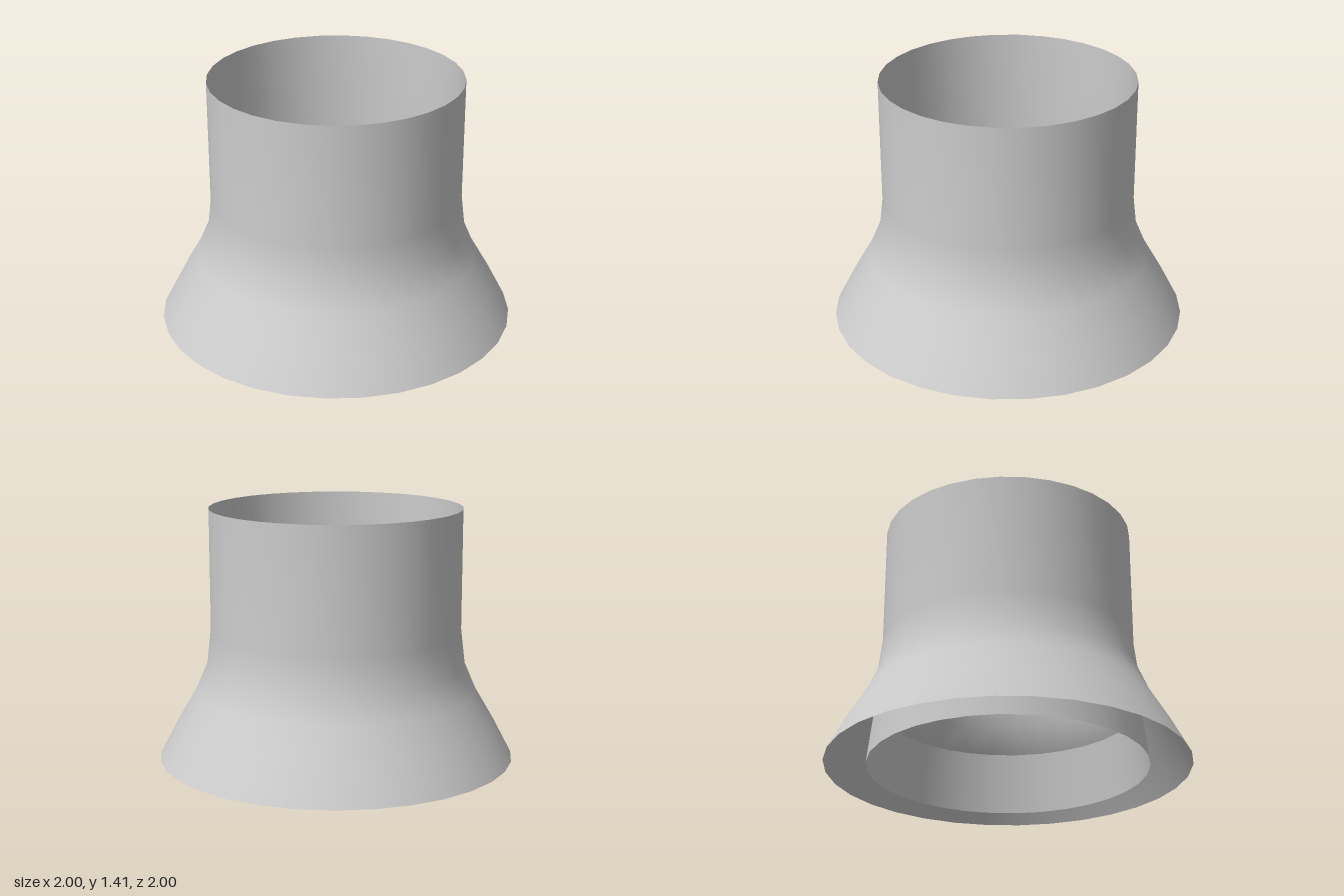
import * as THREE from 'three';

const SIDES = 32;

// Thin open surface of revolution from [radius, height] pairs, bottom to top
function revolve(name, profile, material) {
  const points = profile.map(([r, y]) => new THREE.Vector2(r, y));
  const mesh = new THREE.Mesh(new THREE.LatheGeometry(points, SIDES), material);
  mesh.name = name;
  return mesh;
}

export function createModel() {
  const group = new THREE.Group();
  group.name = 'flaredCollar';

  const grey = new THREE.MeshStandardMaterial({ color: 0xcccccc, side: THREE.DoubleSide });
  grey.name = 'light grey';

  // Outer shell: flared skirt blending into a straight pipe
  group.add(revolve('outerShell', [
    [1.0, 0], [0.895, 0.2], [0.79, 0.38], [0.728, 0.525], [0.705, 0.72], [0.705, 1.41],
  ], grey));

  // Short tapered sleeve inside the skirt, open at both ends
  group.add(revolve('innerSleeve', [[0.77, 0], [0.73, 0.35]], grey));

  return group;
}
